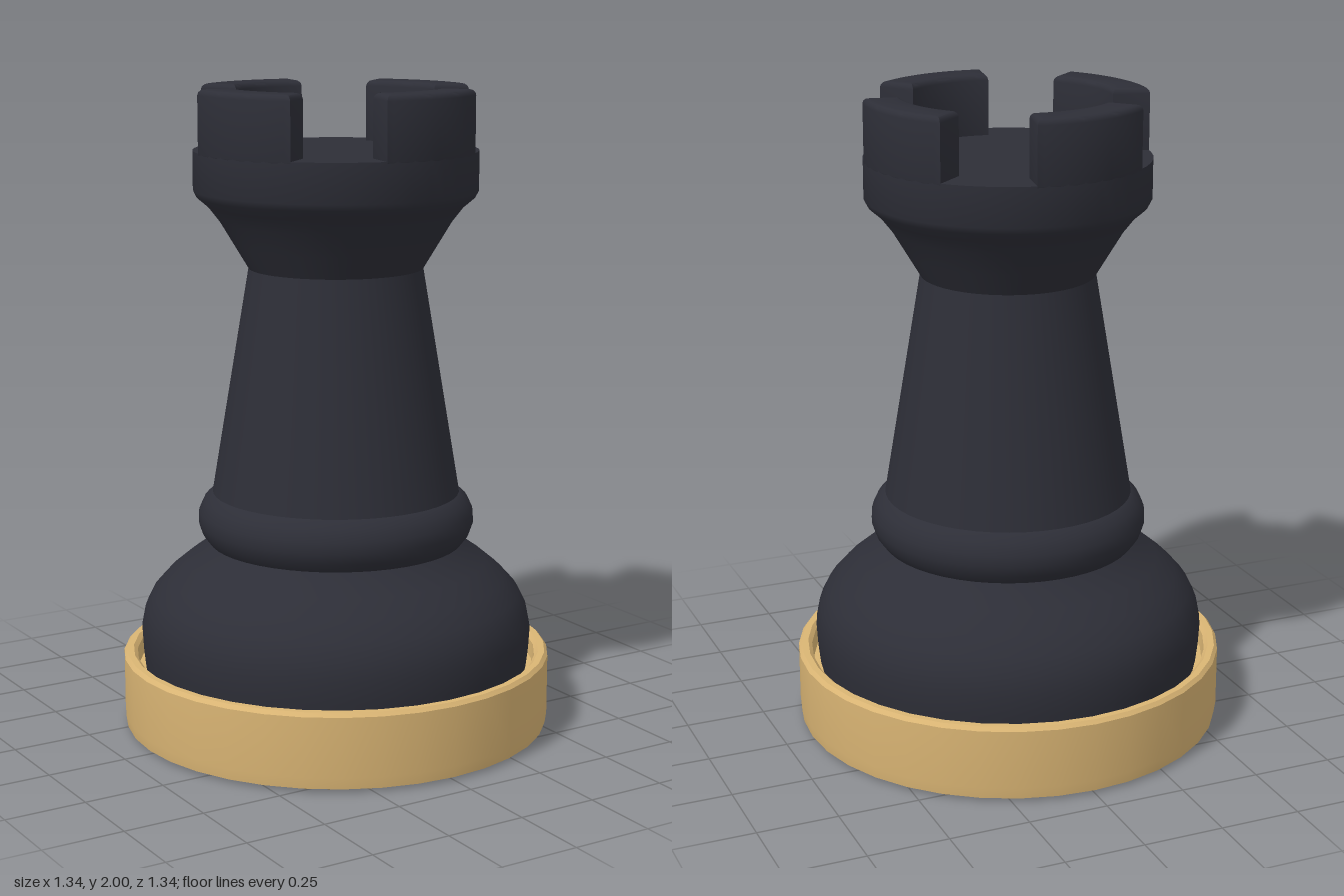
import * as THREE from 'three';
import { toCreasedNormals } from 'three/addons/utils/BufferGeometryUtils.js';

const ebony = new THREE.MeshStandardMaterial({ name: 'ebony', color: 0x2d2e37 });
const gold = new THREE.MeshStandardMaterial({ name: 'gold', color: 0xdab574 });

// Turned part from [radius, height] pairs, listed bottom to top
function turned(name, profile, segments, material) {
  const points = profile.map(([r, y]) => new THREE.Vector2(r, y));
  const geometry = toCreasedNormals(new THREE.LatheGeometry(points, segments), 0.6);
  const mesh = new THREE.Mesh(geometry, material);
  mesh.name = name;
  return mesh;
}

// One curved battlement block with softened edges, standing on the crown
function battlementGeometry() {
  const inner = 0.32, outer = 0.435, half = THREE.MathUtils.degToRad(26.5);
  const bevel = 0.018, bottom = 1.79, top = 2;
  const shape = new THREE.Shape();
  shape.absarc(0, 0, outer, -half, half, false);
  shape.absarc(0, 0, inner, half, -half, true);
  shape.closePath();
  const geometry = new THREE.ExtrudeGeometry(shape, {
    depth: top - bottom - 2 * bevel,
    bevelSize: bevel, bevelThickness: bevel, bevelOffset: -bevel,
    bevelSegments: 3, curveSegments: 10,
  });
  geometry.rotateX(-Math.PI / 2);
  geometry.translate(0, bottom + bevel, 0);
  return toCreasedNormals(geometry, 0.7);
}

export function createModel() {
  const rook = new THREE.Group();
  rook.name = 'rook';

  // Gold base with a raised lip and a shallow groove around the body
  rook.add(turned('base', [
    [0, 0.01], [0.64, 0.005], [0.665, 0.015], [0.67, 0.05], [0.67, 0.235],
    [0.66, 0.247], [0.64, 0.247], [0.628, 0.235], [0.622, 0.19], [0, 0.19],
  ], 36, gold));

  // Bulging foot
  rook.add(turned('foot', [
    [0.6, 0.18], [0.608, 0.25], [0.612, 0.32], [0.6, 0.38], [0.575, 0.43],
    [0.53, 0.48], [0.47, 0.53], [0.42, 0.565], [0.38, 0.61],
  ], 48, ebony));

  // Rounded collar
  rook.add(turned('collar', [
    [0.37, 0.57], [0.395, 0.59], [0.418, 0.62], [0.43, 0.655], [0.428, 0.69],
    [0.412, 0.725], [0.385, 0.75], [0.35, 0.76],
  ], 48, ebony));

  // Tapered shaft
  rook.add(turned('shaft', [[0.39, 0.72], [0.384, 0.755], [0.268, 1.45]], 48, ebony));

  // Flared crown with a flat floor
  rook.add(turned('crown', [
    [0.268, 1.45], [0.31, 1.52], [0.355, 1.595], [0.39, 1.64], [0.425, 1.67],
    [0.435, 1.69], [0.435, 1.81], [0, 1.81],
  ], 48, ebony));

  // Four battlements
  const geometry = battlementGeometry();
  for (let i = 0; i < 4; i++) {
    const block = new THREE.Mesh(geometry, ebony);
    block.name = 'battlement' + (i + 1);
    block.rotation.y = THREE.MathUtils.degToRad(14.5 + 90 * i);
    rook.add(block);
  }
  return rook;
}
